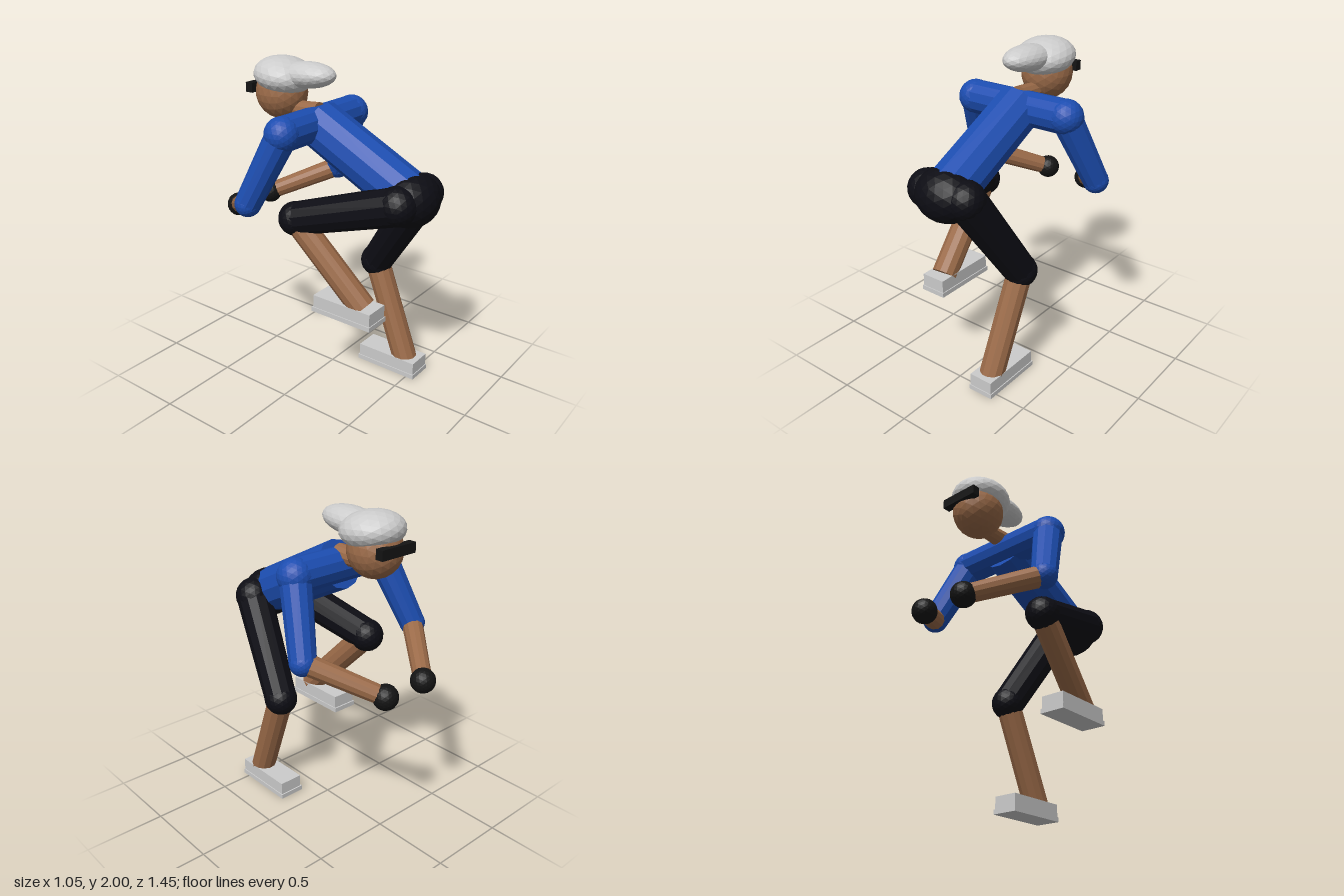
import * as THREE from 'three';

const paint = (color) => new THREE.MeshStandardMaterial({ color, flatShading: true });
const V = (x, y, z) => new THREE.Vector3(x, y, z);

export function createModel() {
  const model = new THREE.Group();
  model.name = 'crouchedRider';
  const skin = paint(0x9a6a48), jersey = paint(0x1c4db0), shorts = paint(0x0d0d14);
  const black = paint(0x141414), grey = paint(0xcccccc);

  const add = (name, geometry, material) => {
    const mesh = new THREE.Mesh(geometry, material);
    mesh.name = name;
    model.add(mesh);
    return mesh;
  };
  // faceted ball, optionally stretched and tilted
  const ball = (name, p, rx, ry, rz, material, tilt = 0) => {
    const mesh = add(name, new THREE.IcosahedronGeometry(1, 3), material);
    mesh.scale.set(rx, ry, rz);
    mesh.rotation.x = tilt;
    mesh.position.copy(p);
  };
  // tapered cylinder from a to b
  const limb = (name, a, b, ra, rb, material, sides = 12) => {
    const mesh = add(name, new THREE.CylinderGeometry(rb, ra, a.distanceTo(b), sides), material);
    mesh.position.copy(a).lerp(b, 0.5);
    mesh.quaternion.setFromUnitVectors(V(0, 1, 0), b.clone().sub(a).normalize());
  };
  const box = (name, w, h, d, p, material) =>
    add(name, new THREE.BoxGeometry(w, h, d), material).position.copy(p);

  // trunk
  limb('torso', V(0, 1.29, 0.57), V(0, 1.63, -0.105), 0.15, 0.15, jersey);
  ball('hips', V(0, 1.287, 0.565), 0.195, 0.16, 0.16, shorts);
  limb('shoulderBar', V(-0.335, 1.63, -0.106), V(0.335, 1.63, -0.106), 0.105, 0.105, jersey);

  // head and headgear
  limb('neck', V(0, 1.695, -0.1), V(0, 1.69, -0.32), 0.06, 0.05, skin);
  ball('head', V(0, 1.78, -0.39), 0.157, 0.165, 0.165, skin);
  ball('helmet', V(0, 1.887, -0.367), 0.186, 0.112, 0.191, grey, 0.12);
  ball('helmetTail', V(0, 1.906, -0.195), 0.114, 0.08, 0.208, grey, -0.06);
  box('glasses', 0.256, 0.06, 0.05, V(0, 1.806, -0.546), black);

  // arms, mirrored
  for (const [side, s] of [['left', 1], ['right', -1]]) {
    const shoulder = V(s * 0.335, 1.63, -0.106);
    const elbow = V(s * 0.445, 1.2, -0.293);
    const hand = V(s * 0.155, 1.025, -0.653);
    ball(side + 'Shoulder', shoulder, 0.107, 0.107, 0.107, jersey);
    limb(side + 'UpperArm', shoulder, elbow, 0.095, 0.08, jersey);
    ball(side + 'Elbow', elbow, 0.08, 0.08, 0.08, jersey);
    limb(side + 'Forearm', elbow, hand, 0.065, 0.055, skin);
    ball(side + 'Glove', hand, 0.076, 0.076, 0.076, black);
  }

  // legs: left stretched down, right drawn up
  const legs = [
    ['left', 1, V(0.235, 0.715, 0.185), V(0.21, 0.08, 0.44), V(0.21, 0, 0.34)],
    ['right', -1, V(-0.262, 1.1, -0.08), V(-0.207, 0.62, 0.385), V(-0.21, 0.53, 0.277)],
  ];
  for (const [side, s, knee, ankle, foot] of legs) {
    const hip = V(s * 0.14, 1.29, 0.56);
    ball(side + 'Hip', hip, 0.118, 0.118, 0.118, shorts);
    limb(side + 'Thigh', hip, knee, 0.115, 0.102, shorts);
    ball(side + 'Knee', knee, 0.105, 0.105, 0.105, shorts);
    limb(side + 'Shin', knee, ankle, 0.08, 0.08, skin);
    box(side + 'Sole', 0.17, 0.03, 0.43, foot.clone().add(V(0, 0.015, 0)), grey);
    box(side + 'Shoe', 0.158, 0.082, 0.415, foot.clone().add(V(0, 0.069, 0.002)), grey);
  }
  return model;
}
